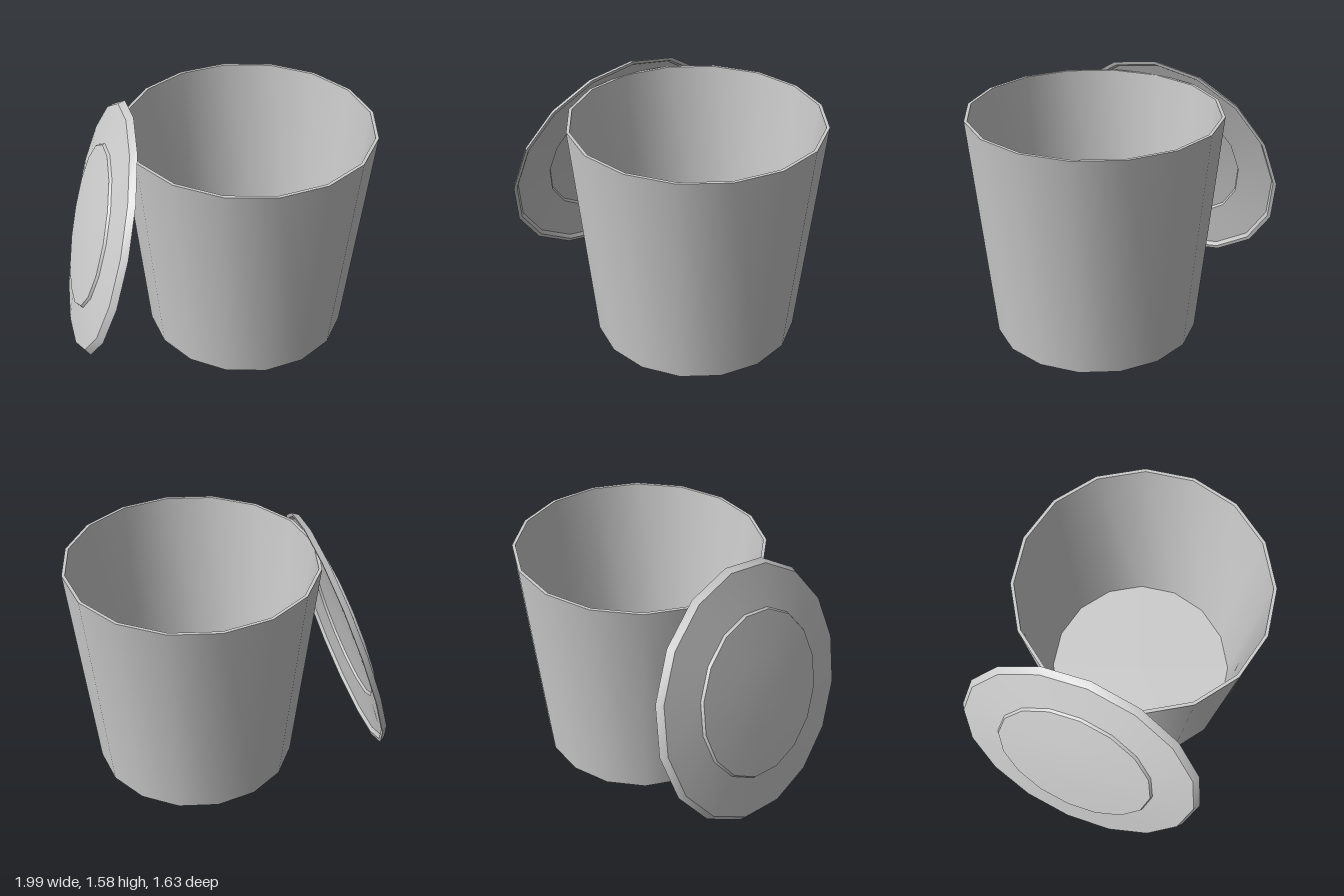
import * as THREE from 'three';
import { toCreasedNormals } from 'three/addons/utils/BufferGeometryUtils.js';

const SIDES = 16;

// Revolve a closed [radius, height] profile, smooth around, sharp at the rims
function turned(name, profile) {
  const points = profile.map(([r, y]) => new THREE.Vector2(r, y));
  const geometry = toCreasedNormals(new THREE.LatheGeometry(points, SIDES), 0.5);
  const mesh = new THREE.Mesh(geometry, new THREE.MeshStandardMaterial({ color: 0xcccccc }));
  mesh.name = name;
  return mesh;
}

export function createModel() {
  const model = new THREE.Group();
  model.name = 'binWithLid';

  // Tapered open bin with a thin wall and floor
  const bin = turned('bin', [
    [0, 0], [0.65, 0], [0.79, 1.46], [0.77, 1.46], [0.63, 0.02], [0, 0.02],
  ]);
  bin.position.set(0.2, 0, 0.02);

  // Shallow domed lid with a raised middle, hollow underneath
  const lid = turned('lid', [
    // underside, from the middle to the rim
    [0, 0.084], [0.24, 0.08], [0.5, 0.062], [0.51, 0.046], [0.77, 0.012], [0.79, -0.01],
    // bevelled rim and top, back to the middle
    [0.814, -0.01], [0.786, 0.03], [0.527, 0.066], [0.517, 0.082], [0.24, 0.1], [0, 0.104],
  ]);
  // Leaning against the bin
  lid.position.set(-0.745, 0.8, 0);
  lid.rotation.z = 1.278;

  model.add(bin, lid);
  return model;
}
